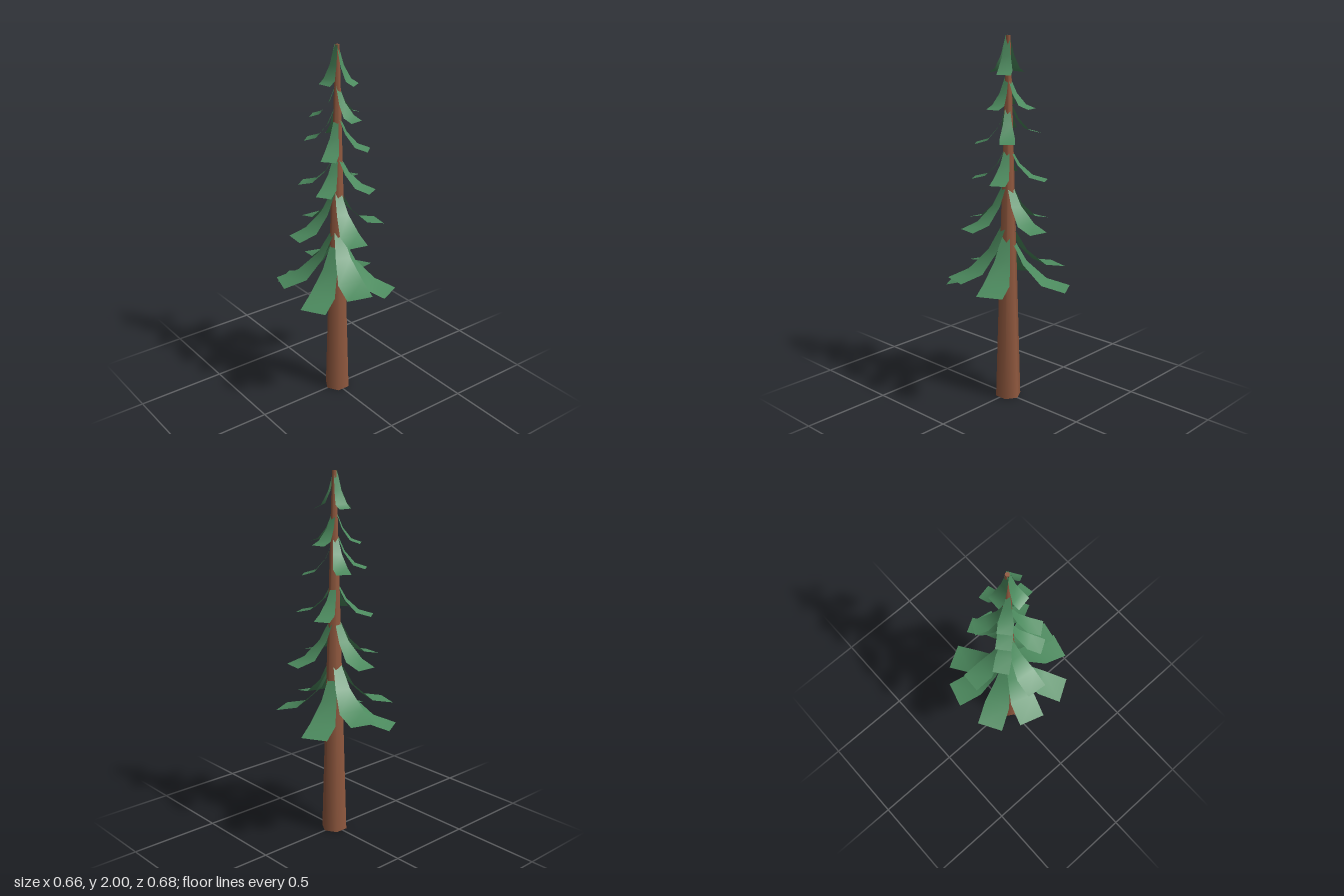
import * as THREE from 'three';

const bark = new THREE.MeshStandardMaterial({ color: 0x91593f });
const needles = new THREE.MeshStandardMaterial({ color: 0x4c8a5e, side: THREE.DoubleSide });

// cross-sections of a branch: [reach fraction, height fraction, width fraction]
const SECTIONS = [[0.05, 1, 0.28], [0.29, 0.47, 0.6], [0.61, 0.11, 1], [1, 0, 1]];

// a drooping, flaring strip that starts at the trunk and flattens out at its tip
function branchGeometry(reach, drop, width) {
  const positions = [], index = [];
  SECTIONS.forEach(([r, h, w], i) => {
    positions.push(r * reach, h * drop, -w * width / 2, r * reach, h * drop, w * width / 2);
    if (i) {
      const a = 2 * i - 2;
      index.push(a, a + 1, a + 3, a, a + 3, a + 2);
    }
  });
  const g = new THREE.BufferGeometry();
  g.setAttribute('position', new THREE.Float32BufferAttribute(positions, 3));
  g.setIndex(index);
  g.computeVertexNormals();
  return g;
}

// tiers from bottom to top; branches are [angle from +x towards +z, reach, tip height]
const TIERS = [
  { drop: 0.28, width: 0.143, branches: [[240, 0.328, 0.645], [331, 0.334, 0.655], [64, 0.324, 0.685], [149, 0.33, 0.655]] },
  { drop: 0.27, width: 0.143, branches: [[286, 0.334, 0.725], [105, 0.331, 0.735], [197.5, 0.323, 0.725]] },
  { drop: 0.23, width: 0.111, branches: [[9.6, 0.264, 1], [101.5, 0.262, 1], [185.5, 0.26, 1], [272.6, 0.26, 1]] },
  { drop: 0.17, width: 0.085, branches: [[331, 0.21, 1.25], [62, 0.207, 1.25], [148, 0.187, 1.25], [232.6, 0.2, 1.25]] },
  { drop: 0.18, width: 0.08, branches: [[230, 0.165, 1.5], [47.6, 0.17, 1.46], [141, 0.17, 1.44], [297, 0.176, 1.49]] },
  { drop: 0.16, width: 0.076, branches: [[81, 0.141, 1.63], [348, 0.146, 1.63], [229, 0.135, 1.63]] },
  { drop: 0.19, width: 0.076, branches: [[58, 0.105, 1.805], [169, 0.091, 1.81], [273, 0.085, 1.81]] },
];

export function createModel() {
  const tree = new THREE.Group();
  tree.name = 'pineTree';

  // tapering six-sided trunk with two corners on the x axis
  const trunk = new THREE.Mesh(
    new THREE.CylinderGeometry(0.012, 0.072, 2, 6, 1, false, Math.PI / 6), bark);
  trunk.name = 'trunk';
  trunk.position.set(0.005, 1, 0);
  tree.add(trunk);

  // whorls of branches
  TIERS.forEach(({ drop, width, branches }, t) => {
    const tier = new THREE.Group();
    tier.name = `branchTier${t + 1}`;
    for (const [angle, reach, y] of branches) {
      const branch = new THREE.Mesh(branchGeometry(reach, drop, width), needles);
      branch.name = 'branch';
      branch.position.y = y;
      branch.rotation.y = -THREE.MathUtils.degToRad(angle);
      tier.add(branch);
    }
    tree.add(tier);
  });
  return tree;
}
